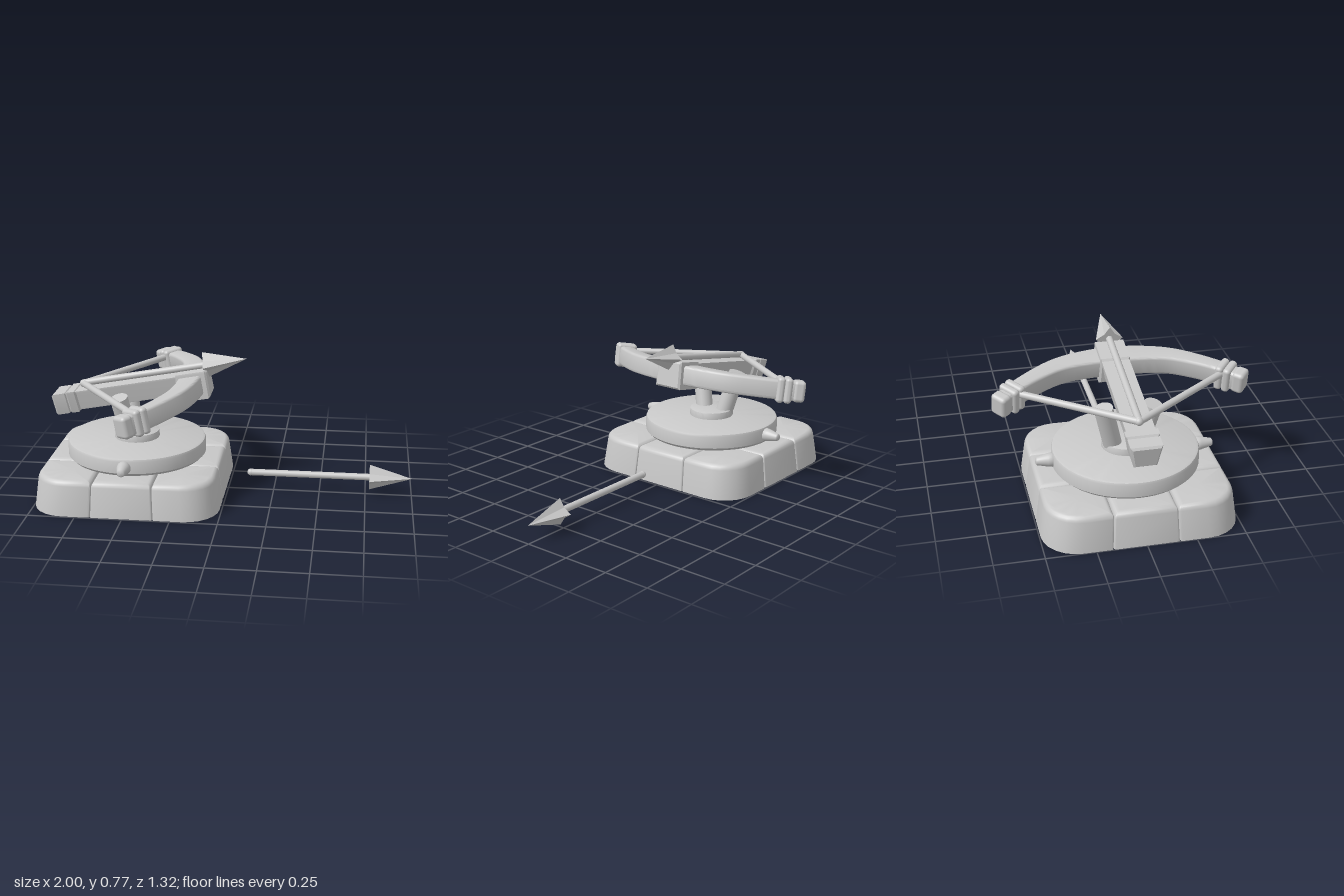
import * as THREE from 'three';
import { toCreasedNormals } from 'three/addons/utils/BufferGeometryUtils.js';
import { RoundedBoxGeometry } from 'three/addons/geometries/RoundedBoxGeometry.js';

const V = (x, y, z) => new THREE.Vector3(x, y, z);
const stone = new THREE.MeshStandardMaterial({ color: 0xc8c8c8, side: THREE.DoubleSide });
stone.name = 'plain grey';

function part(name, geometry, parent, x = 0, y = 0, z = 0) {
  const mesh = new THREE.Mesh(geometry, stone);
  mesh.name = name;
  mesh.position.set(x, y, z);
  parent.add(mesh);
  return mesh;
}

// Skin a list of closed rings, each anticlockwise seen from the far end.
function loft(rings, capStart = true, capEnd = true, crease = 0.6) {
  const pos = [];
  const tri = (...pts) => pts.forEach((p) => pos.push(p.x, p.y, p.z));
  const n = rings[0].length;
  for (let i = 0; i < rings.length - 1; i++) {
    for (let j = 0; j < n; j++) {
      const k = (j + 1) % n;
      const a = rings[i][j], b = rings[i][k], c = rings[i + 1][k], d = rings[i + 1][j];
      tri(a, b, c);
      tri(a, c, d);
    }
  }
  const cap = (ring, flip) => {
    const mid = ring.reduce((s, p) => s.add(p), V(0, 0, 0)).divideScalar(n);
    ring.forEach((p, j) => {
      const q = ring[(j + 1) % n];
      if (flip) tri(mid, q, p); else tri(mid, p, q);
    });
  };
  if (capStart) cap(rings[0], true);
  if (capEnd) cap(rings[rings.length - 1], false);
  const g = new THREE.BufferGeometry();
  g.setAttribute('position', new THREE.Float32BufferAttribute(pos, 3));
  return toCreasedNormals(g, crease);
}

// Rounded rectangle with a radius for each corner, shrunk by an inset.
function outline(p0, p1, q0, q1, radii, inset = 0, seg = 6) {
  const pts = [];
  [[p1, q1, -1, -1], [p0, q1, 1, -1], [p0, q0, 1, 1], [p1, q0, -1, 1]].forEach(([p, q, sp, sq], i) => {
    const r = Math.max(radii[i] - inset, 0.004);
    for (let k = 0; k <= seg; k++) {
      const a = (i + k / seg) * Math.PI / 2;
      pts.push([p + sp * (inset + r) + r * Math.cos(a), q + sq * (inset + r) + r * Math.sin(a)]);
    }
  });
  return pts;
}

function rod(name, a, b, r, parent) {
  const mesh = part(name, new THREE.CylinderGeometry(r, r, a.distanceTo(b), 20), parent);
  mesh.position.copy(a).lerp(b, 0.5);
  mesh.quaternion.setFromUnitVectors(V(0, 1, 0), b.clone().sub(a).normalize());
  return mesh;
}

// Bevelled round plate standing on y.
function plate(name, r, y0, y1, bevel, parent) {
  const pts = [[0, y0], [r - bevel, y0], [r, y0 + bevel], [r, y1 - bevel], [r - bevel * 0.3, y1 - bevel * 0.3], [r - bevel, y1], [0, y1]];
  const g = new THREE.LatheGeometry(pts.map((p) => new THREE.Vector2(...p)), 64);
  part(name, toCreasedNormals(g, 0.5), parent);
}

// Arrow along +x with a four-pointed star head.
function arrow(name, length) {
  const g = new THREE.Group();
  g.name = name;
  const headLength = 0.23, start = length - headLength;
  rod('arrowShaft', V(0.015, 0, 0), V(start + 0.02, 0, 0), 0.018, g);
  part('arrowNock', new THREE.SphereGeometry(0.019, 16, 12), g, 0.018);
  const star = (x, s) => Array.from({ length: 8 }, (_, i) => {
    const r = s * (i % 2 ? 0.04 : 0.072), a = i * Math.PI / 4;
    return V(x, r * Math.cos(a), r * Math.sin(a));
  });
  part('arrowHead', loft([star(start, 1), star(length, 0.005)], true, true, 0.2), g);
  return g;
}

function createModel() {
  const root = new THREE.Group();
  root.name = 'ballista';

  // Base of nine hollow tapered blocks
  const base = new THREE.Group();
  base.name = 'base';
  base.position.x = -0.505;
  root.add(base);
  const edges = [-0.495, -0.165, 0.165, 0.495];
  for (let i = 0; i < 3; i++) {
    for (let j = 0; j < 3; j++) {
      const big = (ci, cj) => (i === ci && j === cj ? 0.18 : 0.012);
      const radii = [big(2, 2), big(0, 2), big(0, 0), big(2, 0)];
      const ring = (y, inset) => {
        const s = 1 - 0.05 * y / 0.19;
        return outline(edges[i], edges[i + 1], edges[j], edges[j + 1], radii, inset + 0.001)
          .map(([p, q]) => V(p * s, y, -q * s));
      };
      const rings = [ring(0, 0)];
      for (let k = 0; k <= 5; k++) {
        const a = k / 5 * Math.PI / 2;
        rings.push(ring(0.16 + 0.03 * Math.sin(a), 0.03 * (1 - Math.cos(a))));
      }
      part('baseBlock', loft(rings, false, true), base);
    }
  }

  // Turntable, side pegs and pivot
  plate('turntable', 0.377, 0.19, 0.287, 0.016, base);
  plate('pivotPlate', 0.123, 0.28, 0.325, 0.004, base);
  for (const s of [-1, 1]) {
    const pts = [[0, 0], [0.03, 0], [0.037, 0.025], [0.034, 0.045], [0.021, 0.1], [0.015, 0.107], [0, 0.108]];
    const g = new THREE.LatheGeometry(pts.map((p) => new THREE.Vector2(...p)), 24);
    part('sidePeg', g, base, 0, 0.24, s * 0.355).rotation.x = s * Math.PI / 2;
    rod('supportPost', V(-0.528, 0.29, s * 0.066), V(-0.575, 0.54, s * 0.127), 0.048, root);
  }

  // Tilted weapon: local x runs along the stock from its back end
  const bowGroup = new THREE.Group();
  bowGroup.name = 'crossbow';
  bowGroup.position.set(-0.949, 0.465, 0);
  bowGroup.rotation.z = 10.5 * Math.PI / 180;
  root.add(bowGroup);

  // Stock pieces are wider at the top than at the bottom
  const stockPiece = (name, x0, x1, y0, y1, top, bottom) => {
    const section = (x, inset) => outline(-1, 1, y0 + inset, y1 - inset, [0.01, 0.01, 0.01, 0.01], 0, 2)
      .map(([p, q]) => {
        const t = (q - y0) / (y1 - y0);
        return V(x, q, -p * (bottom + (top - bottom) * t - inset));
      });
    part(name, loft([section(x0, 0.01), section(x0 + 0.01, 0), section(x1 - 0.01, 0), section(x1, 0.01)]), bowGroup);
  };
  stockPiece('stock', 0.1, 0.75, -0.05, 0.058, 0.073, 0.052);
  stockPiece('gripEnd', 0, 0.085, -0.06, 0.06, 0.08, 0.058);
  stockPiece('gripBand', 0.08, 0.14, -0.06, 0.063, 0.084, 0.06);
  stockPiece('headBlock', 0.69, 0.862, -0.082, 0.068, 0.076, 0.083);

  // Curved bow
  const curve = new THREE.CatmullRomCurve3([
    [0.52, -0.6], [0.583, -0.53], [0.66, -0.42], [0.728, -0.29], [0.763, -0.12],
    [0.763, 0.12], [0.728, 0.29], [0.66, 0.42], [0.583, 0.53], [0.52, 0.6],
  ].map(([x, z]) => V(x, -0.004, z)));
  const rings = [];
  for (let i = 0; i <= 48; i++) {
    const p = curve.getPointAt(i / 48), t = curve.getTangentAt(i / 48);
    const n = V(0, 1, 0).cross(t);
    const w = 0.067 - 0.027 * Math.min(Math.abs(p.z) / 0.55, 1);
    rings.push(outline(-w, w, -0.053, 0.053, [0.015, 0.015, 0.015, 0.015], 0, 3)
      .map(([a, b]) => V(p.x + n.x * a, p.y + b, p.z + n.z * a)));
  }
  part('bow', loft(rings), bowGroup);

  // Bow tips with two bands and a cap, and the string
  for (const s of [-1, 1]) {
    const tip = new THREE.Group();
    tip.name = 'bowTip';
    tip.position.set(0.568, -0.004, s * 0.545);
    tip.rotation.y = -s * 0.7;
    bowGroup.add(tip);
    part('tipBand', new RoundedBoxGeometry(0.115, 0.138, 0.042, 3, 0.018), tip, 0, 0, -s * 0.012);
    part('tipBand', new RoundedBoxGeometry(0.115, 0.138, 0.042, 3, 0.018), tip, 0, 0, s * 0.03);
    part('tipCap', new RoundedBoxGeometry(0.092, 0.116, 0.065, 3, 0.02), tip, 0, 0, s * 0.09);
    rod('bowString', V(0.172, 0.08, 0), V(0.545, 0.025, s * 0.53), 0.018, bowGroup);
  }
  part('stringKnot', new THREE.SphereGeometry(0.021, 16, 12), bowGroup, 0.172, 0.08, 0);

  // Loaded arrow and spare arrow
  const loaded = arrow('loadedArrow', 0.915);
  loaded.position.set(0.163, 0.083, 0);
  bowGroup.add(loaded);
  const spare = arrow('flyingArrow', 0.895);
  spare.position.set(0.105, 0.098, 0);
  root.add(spare);

  return root;
}

export { createModel };
